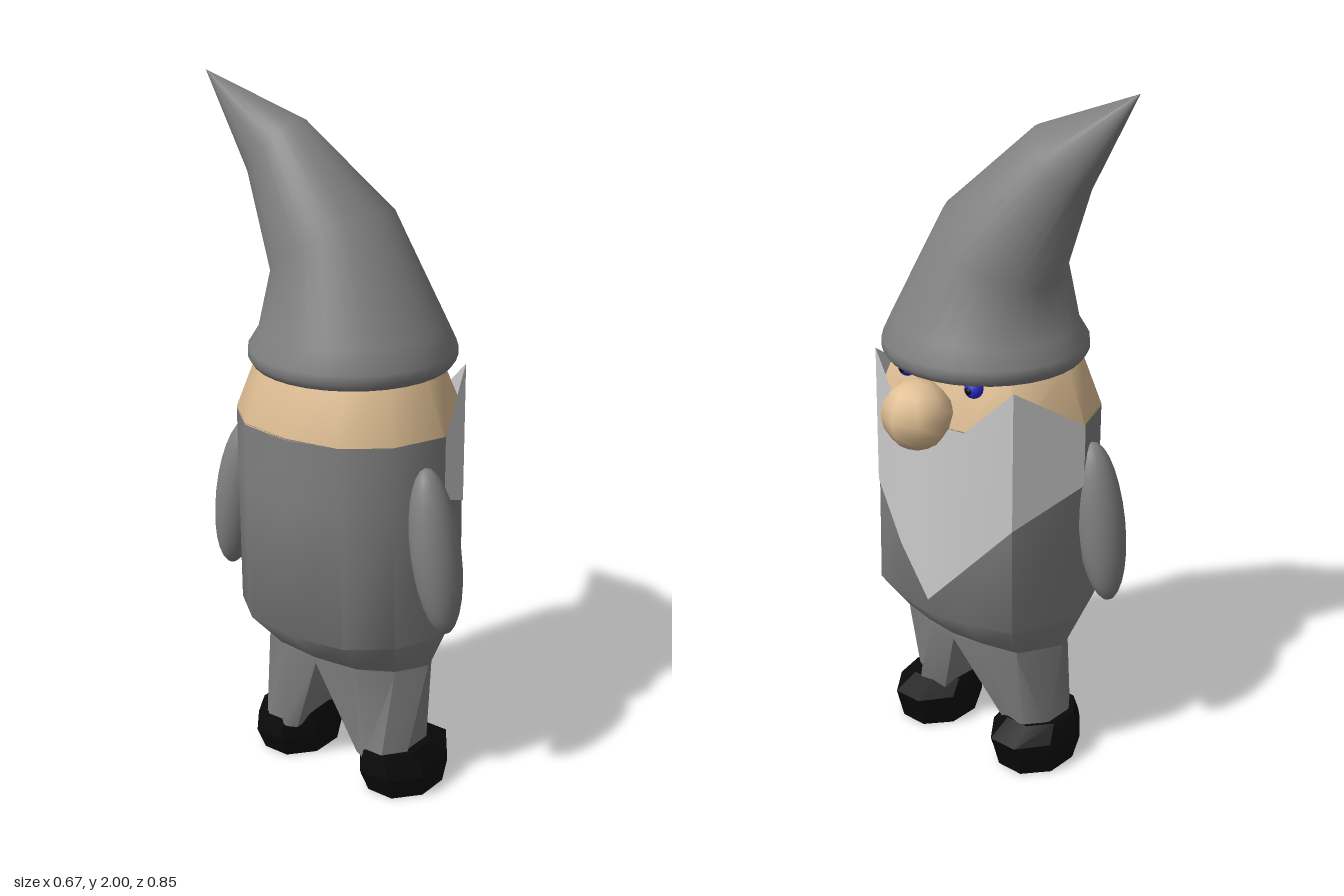
import * as THREE from 'three';
import { toCreasedNormals } from 'three/addons/utils/BufferGeometryUtils.js';

const mat = (color) => new THREE.MeshStandardMaterial({ color });
const cloth = mat(0x808080), skin = mat(0xe0bf94), black = mat(0x0a0a0a), blue = mat(0x2a2ad0);
const white = new THREE.MeshStandardMaterial({ color: 0xcccccc, side: THREE.DoubleSide });

// Skin between closed rings of [x, y, z], bottom to top, with both ends capped
function loft(rings, crease = 0.8) {
  const n = rings[0].length, pos = rings.flat(2), index = [];
  for (let i = 0; i < rings.length - 1; i++) {
    for (let j = 0; j < n; j++) {
      const a = i * n + j, b = i * n + (j + 1) % n;
      index.push(a, b, b + n, a, b + n, a + n);
    }
  }
  [0, rings.length - 1].forEach((r) => {
    const c = pos.length / 3;
    pos.push(...[0, 1, 2].map((k) => rings[r].reduce((s, p) => s + p[k] / n, 0)));
    for (let j = 0; j < n; j++) {
      const a = r * n + j, b = r * n + (j + 1) % n;
      if (r === 0) index.push(c, b, a);
      else index.push(c, a, b);
    }
  });
  const g = new THREE.BufferGeometry();
  g.setAttribute('position', new THREE.Float32BufferAttribute(pos, 3));
  g.setIndex(index);
  return toCreasedNormals(g, crease);
}

// Half outline of the torso, back to front, as [x, z]
const half = [[-0.335, 0], [-0.31, 0.16], [-0.22, 0.27], [-0.07, 0.33], [0.135, 0.25], [0.18, 0.12], [0.2, 0]];

const halfRing = (y, sx, sz, cx) => half.map(([x, z]) => [cx + (x + 0.07) * sx, y, z * sz]);
function bodyRing(y, sx = 1, sz = 1, cx = -0.07) {
  const h = halfRing(y, sx, sz, cx);
  return [...h, ...h.slice(1, -1).reverse().map(([x, yy, z]) => [x, yy, -z])];
}
const mirrorRing = (ring) => ring.map(([x, y, z]) => [x, y, -z]).reverse();

export function createModel() {
  const root = new THREE.Group();
  const add = (name, geo, material, parent = root) => {
    const m = new THREE.Mesh(geo, material);
    m.name = name;
    parent.add(m);
    return m;
  };

  // Torso and head
  add('torso', loft([
    bodyRing(0.4, 0.6, 0.86, -0.06),
    bodyRing(0.51, 0.98, 1.015, -0.065),
    bodyRing(0.92),
    bodyRing(1.1),
  ]), cloth);
  add('head', loft([bodyRing(1.095), bodyRing(1.1), bodyRing(1.26, 0.78, 0.81)]), skin);

  // Hat: rings that shrink, lean and tilt toward the tip
  const hatRings = [
    // centre x, y, z, half width x, half depth z, rise toward +z
    [-0.04, 1.245, 0, 0.275, 0.275, 0],
    [-0.04, 1.265, 0, 0.288, 0.288, 0],
    [-0.04, 1.29, 0, 0.287, 0.287, 0],
    [-0.04, 1.345, 0, 0.258, 0.258, 0.01],
    [-0.055, 1.57, -0.055, 0.19, 0.155, 0.1],
    [-0.085, 1.81, -0.22, 0.087, 0.08, 0.08],
    [-0.135, 2, -0.422, 0.001, 0.001, 0],
  ].map(([cx, cy, cz, rx, rz, tilt]) => Array.from({ length: 32 }, (_, i) => {
    const a = i / 32 * Math.PI * 2;
    return [cx - rx * Math.cos(a), cy + tilt * Math.sin(a), cz + rz * Math.sin(a)];
  }));
  add('hat', loft(hatRings, 1.1), cloth);

  // Beard: sheet wrapped round the front, columns of [x, z, bottom, top]
  const side = [[-0.07, 0.333, 0.92, 1.1], [0.138, 0.253, 0.83, 1.235], [0.184, 0.122, 0.685, 1.1]];
  const columns = [...side, [0.205, 0, 0.555, 1.1], ...side.map(([x, z, b, t]) => [x, -z, b, t]).reverse()];
  const beard = new THREE.BufferGeometry();
  beard.setAttribute('position', new THREE.Float32BufferAttribute(
    columns.flatMap(([x, z, b, t]) => [x, b, z, x, t, z]), 3));
  beard.setIndex(columns.slice(1).flatMap((_, i) => {
    const a = i * 2;
    return [a, a + 2, a + 3, a, a + 3, a + 1];
  }));
  add('beard', toCreasedNormals(beard, 0.6), white);

  // Nose
  add('nose', new THREE.SphereGeometry(0.098, 8, 8), skin).position.set(0.238, 1.138, 0);

  // Leg and shoe outlines for the +z side, rings back to front then inner
  const legFoot = [[-0.17, 0.11], [-0.19, 0.15], [-0.19, 0.21], [-0.13, 0.255], [-0.03, 0.255], [0.025, 0.21], [0.01, 0.12]];
  const legRings = [
    legFoot.map(([x, z]) => [x, 0.11, z]),
    halfRing(0.38, 0.59, 0.84, -0.06),
    halfRing(0.43, 0.6, 0.86, -0.06),
  ];
  const shoeRing = (y, x0, x1, z0, z1) => Array.from({ length: 8 }, (_, i) => {
    const a = (i + 0.5) / 8 * Math.PI * 2, k = 1 / Math.cos(Math.PI / 8);
    return [(x0 + x1) / 2 - (x1 - x0) / 2 * k * Math.cos(a), y, (z0 + z1) / 2 + (z1 - z0) / 2 * k * Math.sin(a)];
  });
  const shoeRings = [
    shoeRing(0, -0.17, 0.07, 0.095, 0.295),
    shoeRing(0.07, -0.2, 0.088, 0.08, 0.308),
    shoeRing(0.1, -0.197, 0.1, 0.083, 0.3),
    shoeRing(0.14, -0.19, 0.03, 0.1, 0.275),
  ];

  for (const s of [1, -1]) {
    const name = s > 0 ? 'right' : 'left';
    const flip = (rings) => (s > 0 ? rings : rings.map(mirrorRing));
    add(name + 'Leg', loft(flip(legRings)), cloth);
    add(name + 'Shoe', loft(flip(shoeRings), 0.5), black);

    // Arm: long ellipsoid leaning out at the hand
    const arm = add(name + 'Arm', new THREE.SphereGeometry(1, 20, 14), cloth);
    arm.scale.set(0.074, 0.236, 0.066);
    arm.position.set(-0.13, 0.793, s * 0.348);
    arm.rotation.x = -s * 0.16;

    // Eye with pupil
    const eye = new THREE.Group();
    eye.name = name + 'Eye';
    eye.position.set(0.146, 1.216, s * 0.122);
    add('iris', new THREE.SphereGeometry(0.026, 16, 10), blue, eye);
    const pupil = add('pupil', new THREE.SphereGeometry(0.012, 12, 8), black, eye);
    pupil.position.x = 0.018;
    root.add(eye);
  }
  return root;
}
